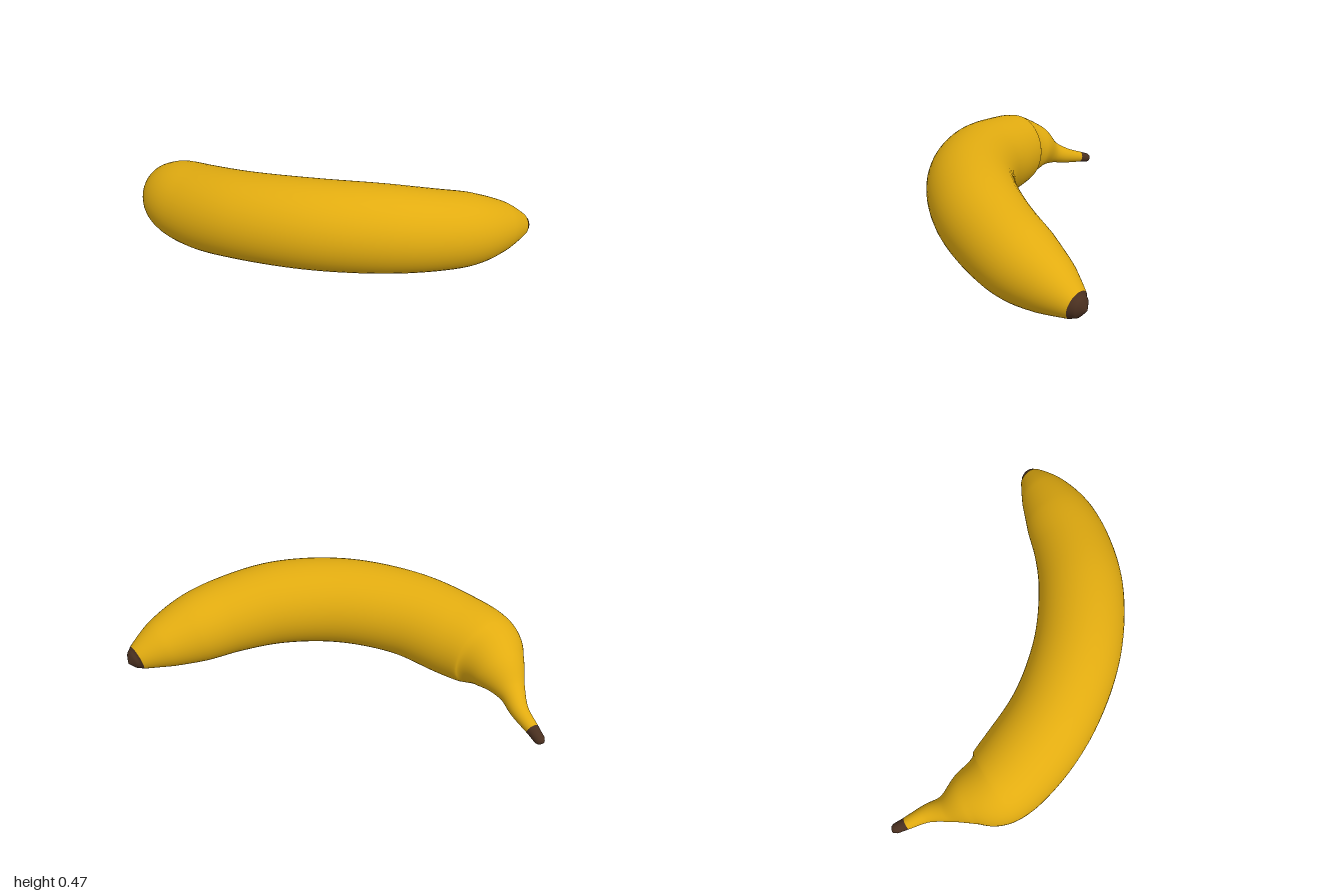
import * as THREE from 'three';

// Spine stations from stem end to blossom end: x, y, z, radius
const stations = [
  [-0.988, 0.052, -0.452, 0],
  [-0.985, 0.054, -0.447, 0.014],
  [-0.975, 0.058, -0.436, 0.024],
  [-0.942, 0.075, -0.388, 0.03],
  [-0.882, 0.105, -0.30, 0.043],
  [-0.845, 0.14, -0.212, 0.066],
  [-0.785, 0.187, -0.115, 0.13],
  [-0.715, 0.207, -0.01, 0.185],
  [-0.56, 0.22, 0.09, 0.205],
  [-0.32, 0.25, 0.19, 0.208],
  [0, 0.263, 0.235, 0.211],
  [0.31, 0.248, 0.198, 0.207],
  [0.54, 0.212, 0.113, 0.193],
  [0.71, 0.175, 0.013, 0.173],
  [0.85, 0.142, -0.093, 0.125],
  [0.95, 0.11, -0.18, 0.063],
  [0.967, 0.105, -0.20, 0.042],
  [0.982, 0.10, -0.219, 0],
];
const last = stations.length - 1;
const spine = new THREE.CatmullRomCurve3(stations.map(([x, y, z]) => new THREE.Vector3(x, y, z)));
const girth = new THREE.CatmullRomCurve3(
  stations.map((s, i) => new THREE.Vector3(s[3], i / last, 0)), false, 'catmullrom', 0.5);

// Sweeps a round section of changing radius between two stations
function sweep(from, to, sides = 48, stepsPerStation = 10) {
  const steps = (to - from) * stepsPerStation;
  const up = new THREE.Vector3(0, 1, 0);
  const positions = [], index = [];
  for (let i = 0; i <= steps; i++) {
    const t = (from + i / stepsPerStation) / last;
    const centre = spine.getPoint(t);
    const tangent = spine.getTangent(t);
    const side = tangent.clone().cross(up).normalize();
    const top = side.clone().cross(tangent);
    const r = Math.max(0, girth.getPoint(t).x);
    for (let j = 0; j < sides; j++) {
      const a = (j / sides) * Math.PI * 2;
      const p = centre.clone().addScaledVector(top, r * Math.cos(a)).addScaledVector(side, r * Math.sin(a));
      positions.push(p.x, p.y, p.z);
      if (i === steps) continue;
      const k = (j + 1) % sides;
      const p0 = i * sides + j, p1 = i * sides + k;
      index.push(p0, p1, p0 + sides, p1, p1 + sides, p0 + sides);
    }
  }
  const geometry = new THREE.BufferGeometry();
  geometry.setAttribute('position', new THREE.Float32BufferAttribute(positions, 3));
  geometry.setIndex(index);
  geometry.computeVertexNormals();
  return geometry;
}

export function createModel() {
  const group = new THREE.Group();
  group.name = 'banana';
  const yellow = new THREE.MeshStandardMaterial({ color: 0xe2ac10 });
  const brown = new THREE.MeshStandardMaterial({ color: 0x4a3020 });
  const add = (name, from, to, material) => {
    const mesh = new THREE.Mesh(sweep(from, to), material);
    mesh.name = name;
    group.add(mesh);
  };
  add('stemEnd', 0, 3, brown);
  add('peel', 3, 15, yellow); // fruit with its tapering stem
  add('blossomTip', 15, last, brown);
  return group;
}
